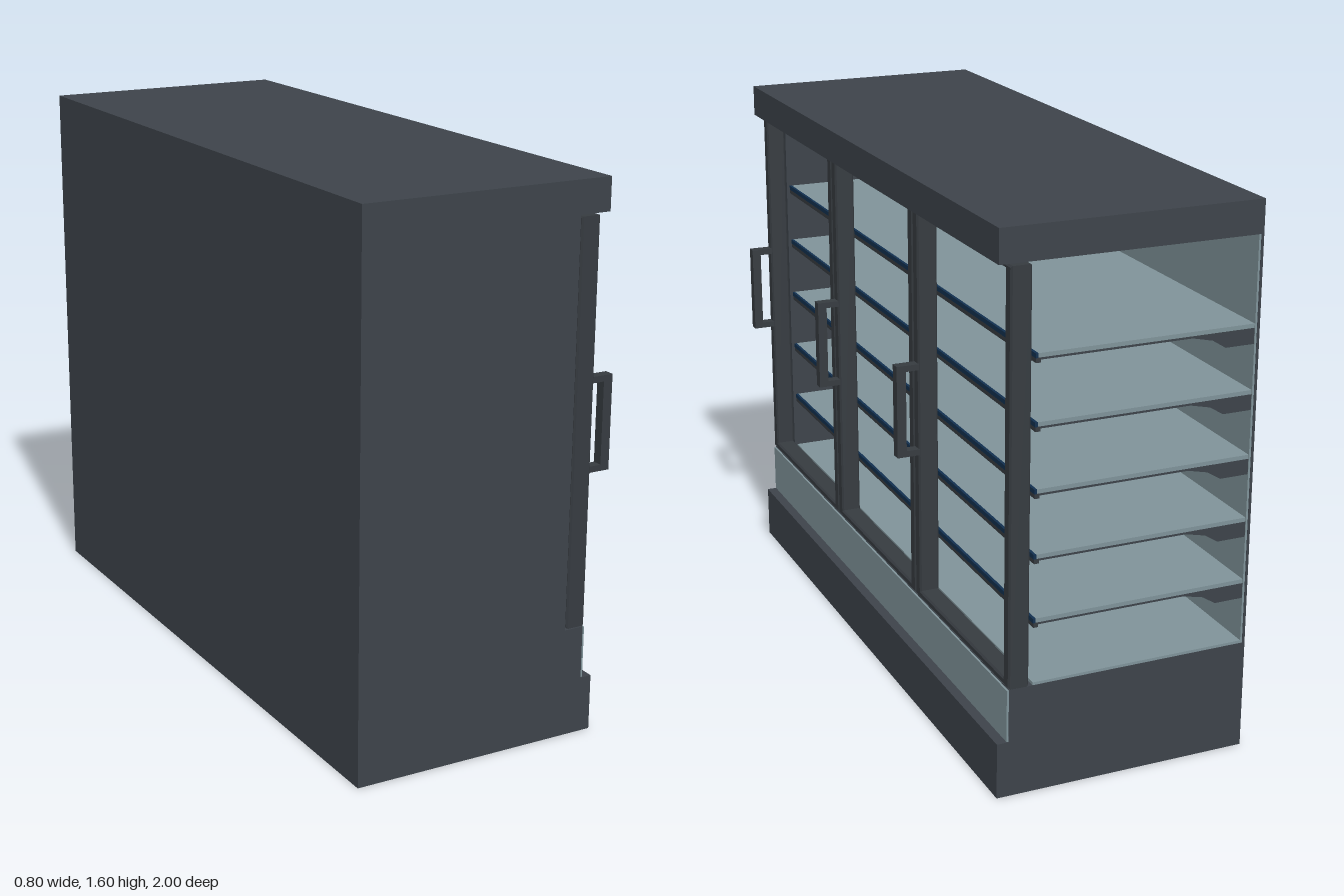
import * as THREE from 'three';

const mat = (name, color) => {
  const m = new THREE.MeshStandardMaterial({ color });
  m.name = name;
  return m;
};

export function createModel() {
  const body = mat('charcoal body', 0x3d434a);
  const frame = mat('dark door frame', 0x363b40);
  const pale = mat('pale steel', 0x7f9399);
  const navy = mat('navy price rail', 0x12304f);

  const model = new THREE.Group();
  model.name = 'displayFridge';

  // Box from its min and max corners
  const box = (name, m, x0, x1, y0, y1, z0, z1, parent = model) => {
    const mesh = new THREE.Mesh(new THREE.BoxGeometry(x1 - x0, y1 - y0, z1 - z0), m);
    mesh.position.set((x0 + x1) / 2, (y0 + y1) / 2, (z0 + z1) / 2);
    mesh.name = name;
    parent.add(mesh);
    return mesh;
  };

  const back = -0.993, front = 0.998; // cabinet ends along z

  // Cabinet: the -z end stays open
  box('plinth', body, -0.4, 0.36, 0, 0.165, back, front);
  box('tub', body, -0.4, 0.325, 0.165, 0.322, back, front);
  box('canopy', body, -0.4, 0.36, 1.505, 1.6, back, front);
  box('backWall', body, -0.4, -0.392, 0.322, 1.505, back, front);
  box('endWall', body, -0.392, 0.265, 0.322, 1.505, 0.968, front);
  box('backLiner', pale, -0.392, -0.386, 0.33, 1.505, back + 0.001, 0.968);
  box('deck', pale, -0.392, 0.255, 0.322, 0.33, back + 0.001, 0.968);
  box('kickPanel', pale, 0.325, 0.331, 0.166, 0.32, back + 0.001, front - 0.001);

  // Shelves with a price rail along the front and brackets underneath
  const bracketShape = new THREE.Shape([
    [-0.386, 0], [-0.386, -0.045], [-0.3, -0.045], [-0.26, -0.02], [-0.2, -0.006], [0.24, -0.006], [0.24, 0],
  ].map(([x, y]) => new THREE.Vector2(x, y)));
  const bracketGeo = new THREE.ExtrudeGeometry(bracketShape, { depth: 0.008, bevelEnabled: false });

  for (const top of [1.26, 1.073, 0.887, 0.702, 0.517]) {
    const shelf = new THREE.Group();
    shelf.name = 'shelf';
    model.add(shelf);
    box('shelfPlate', pale, -0.386, 0.247, top - 0.012, top, -0.99, 0.968, shelf);
    box('priceRail', navy, 0.247, 0.255, top - 0.013, top, -0.99, 0.968, shelf);
    box('shelfLip', frame, 0.24, 0.254, top - 0.026, top - 0.013, -0.99, 0.968, shelf);
    for (const z of [-0.99, -0.334, 0.331, 0.959]) {
      const bracket = new THREE.Mesh(bracketGeo, body);
      bracket.name = 'shelfBracket';
      bracket.position.set(0, top - 0.012, z);
      shelf.add(bracket);
    }
  }

  // Door frame: an upright rectangle with an opening and a small bevel
  const rect = (path, w, y0, y1) =>
    path.moveTo(-w, y0).lineTo(w, y0).lineTo(w, y1).lineTo(-w, y1).closePath();
  const bevel = 0.005;
  const doorShape = new THREE.Shape();
  rect(doorShape, 0.332 - bevel, 0.325 + bevel, 1.5 - bevel);
  const opening = new THREE.Path();
  rect(opening, 0.296 + bevel, 0.347 - bevel, 1.486 + bevel);
  doorShape.holes.push(opening);
  const doorGeo = new THREE.ExtrudeGeometry(doorShape, {
    depth: 0.06 - 2 * bevel, bevelSize: bevel, bevelThickness: bevel, bevelSegments: 1,
  });
  doorGeo.translate(0, 0, bevel).rotateY(Math.PI / 2).translate(0.269, 0, 0);

  for (const z of [0.667, 0.001, -0.666]) {
    const door = new THREE.Group();
    door.name = 'door';
    door.position.z = z;
    model.add(door);
    const doorFrame = new THREE.Mesh(doorGeo, frame);
    doorFrame.name = 'doorFrame';
    door.add(doorFrame);

    // Pull handle on the +z stile
    const h0 = 0.295, h1 = 0.325;
    box('handleGrip', frame, 0.367, 0.395, 0.775, 1.05, h0, h1, door);
    box('handleUpperArm', frame, 0.327, 0.367, 1.032, 1.05, h0, h1, door);
    box('handleLowerArm', frame, 0.327, 0.367, 0.775, 0.793, h0, h1, door);
  }
  return model;
}
